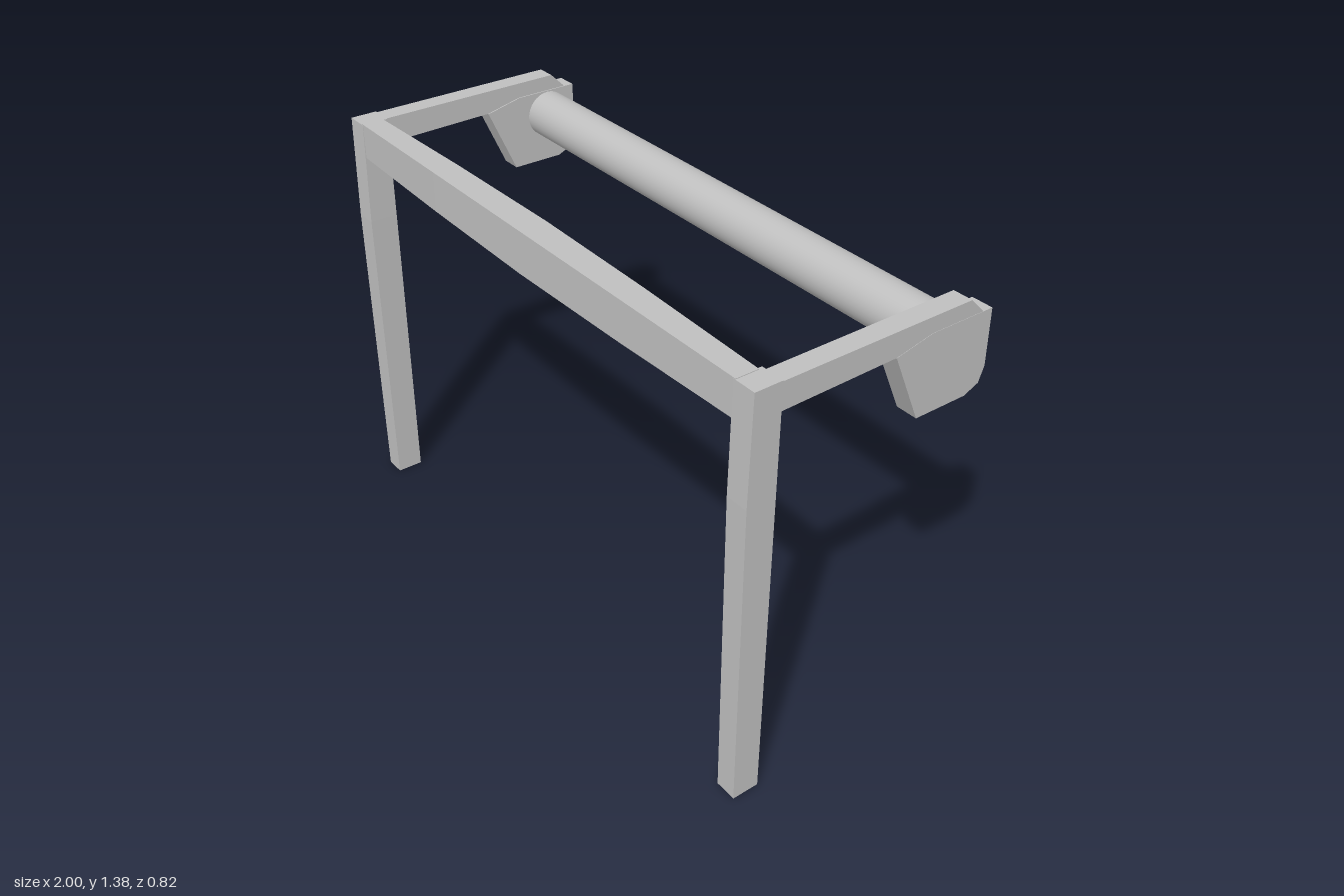
import * as THREE from 'three';

const OUTER = 1.0, INNER = 0.93;

// Box spanning two corners
function span(min, max, segX = 1, segY = 1) {
  const g = new THREE.BoxGeometry(max[0] - min[0], max[1] - min[1], max[2] - min[2], segX, segY, 1);
  return g.translate((min[0] + max[0]) / 2, (min[1] + max[1]) / 2, (min[2] + max[2]) / 2);
}

// Move every vertex by a rule, then rebuild flat normals
function reshape(geometry, rule) {
  const g = geometry.toNonIndexed();
  const p = g.attributes.position;
  const v = new THREE.Vector3();
  for (let i = 0; i < p.count; i++) {
    rule(v.fromBufferAttribute(p, i));
    p.setXYZ(i, v.x, v.y, v.z);
  }
  g.computeVertexNormals();
  return g;
}

// Side outline in (z, y), extruded across x
function sidePlate(points, x0, x1) {
  const shape = new THREE.Shape(points.map(([z, y]) => new THREE.Vector2(z, y)));
  const g = new THREE.ExtrudeGeometry(shape, { depth: x1 - x0, bevelEnabled: false });
  return g.rotateY(-Math.PI / 2).translate(x1, 0, 0);
}

export function createModel() {
  const model = new THREE.Group();
  model.name = 'barStand';
  const metal = new THREE.MeshStandardMaterial({ color: 0xbfbfbf });
  metal.name = 'greyMetal';
  const add = (name, geometry) => {
    const mesh = new THREE.Mesh(geometry, metal);
    mesh.name = name;
    model.add(mesh);
  };

  // Arm with sloped rear end, and the hanging bracket plate below it
  const arm = [[0.32, 1.28], [0.32, 1.365], [-0.325, 1.365], [-0.375, 1.315], [-0.19, 1.29], [-0.06, 1.287]];
  const bracket = [[-0.065, 1.287], [-0.165, 1.065], [-0.345, 1.065], [-0.395, 1.087],
    [-0.412, 1.135], [-0.408, 1.315], [-0.19, 1.315]];

  for (const [side, s] of [['left', 1], ['right', -1]]) {
    const x0 = s > 0 ? INNER : -OUTER;
    const x1 = s > 0 ? OUTER : -INNER;

    // Front leg, swelling very slightly toward the top
    const leg = reshape(span([x0, 0, 0.315], [x1, 1.368, 0.403], 1, 4), (v) => {
      const t = Math.min(1, v.y / 1.3);
      if (Math.abs(v.x) < 0.95) v.x -= s * 0.007 * t;
      if (v.z > 0.36 && v.y < 1.36) v.z += 0.008 * t;
    });
    add(side + 'FrontLeg', leg);
    add(side + 'Arm', sidePlate(arm, x0 + (s > 0 ? 0.004 : 0.001), x1 - (s > 0 ? 0.001 : 0.004)));
    add(side + 'Bracket', sidePlate(bracket, x0, x1));
  }

  // Front crossbeam, a little deeper in the middle
  const beam = reshape(span([-INNER, 1.255, 0.33], [INNER, 1.37, 0.402], 4), (v) => {
    const t = 1 - Math.abs(v.x) / INNER;
    const crown = Math.min(1, t * 2);
    v.y += v.y > 1.3 ? 0.007 * crown : -0.015 * t;
    v.z += v.z > 0.36 ? 0.007 * crown : -0.015 * t;
  });
  add('frontCrossbeam', beam);

  // Round rear bar between the brackets
  const bar = new THREE.CylinderGeometry(0.078, 0.078, 2 * INNER + 0.02, 32);
  bar.rotateZ(Math.PI / 2).translate(0, 1.233, -0.303);
  add('rearBar', bar);

  return model;
}
